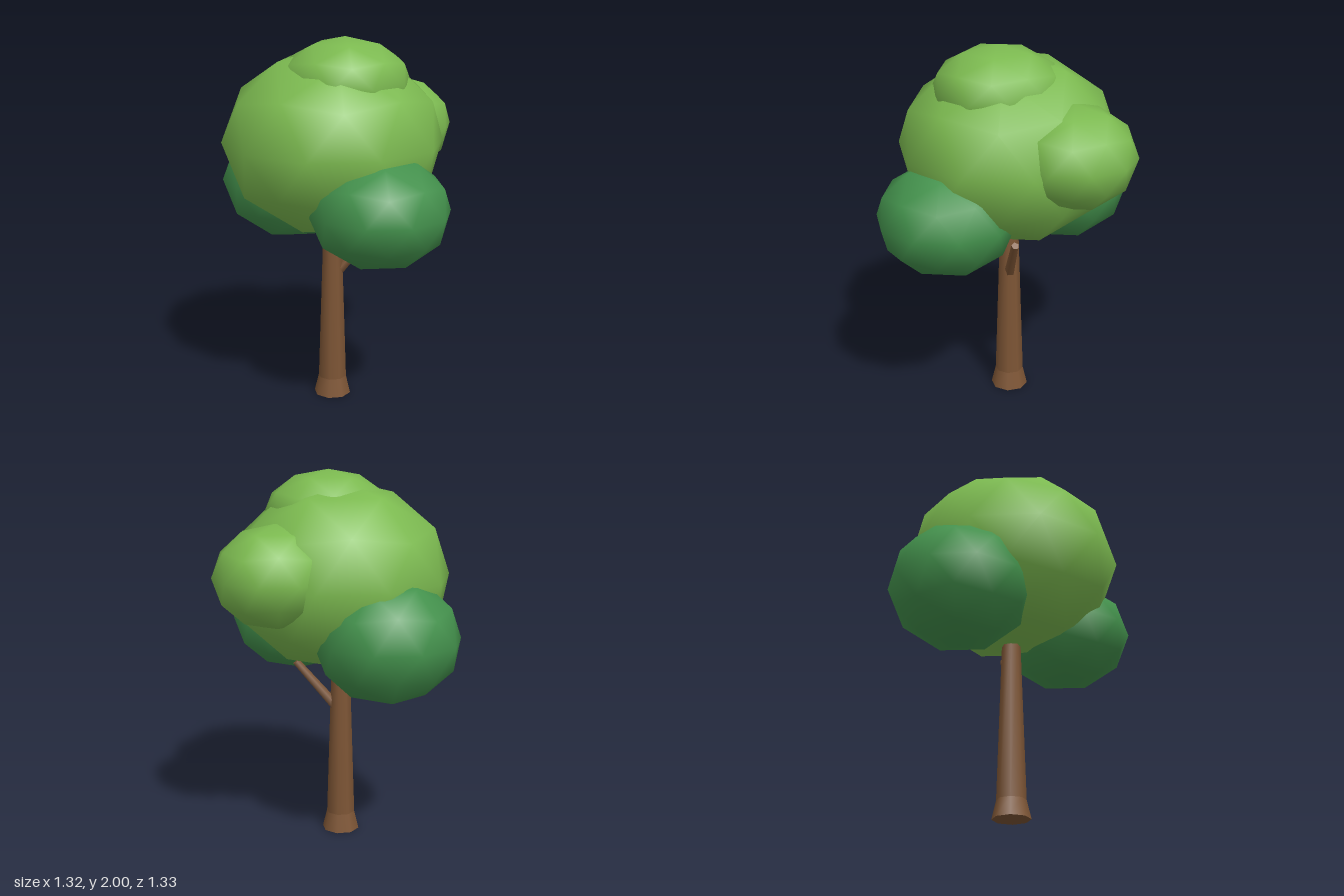
import * as THREE from 'three';
import { mergeVertices, mergeGeometries } from 'three/addons/utils/BufferGeometryUtils.js';

const mat = (name, color) => {
  const m = new THREE.MeshStandardMaterial({ color });
  m.name = name;
  return m;
};

// Low-poly ball with a vertex at the pole and smooth shared normals
function foliageGeometry(r, h) {
  let g = new THREE.IcosahedronGeometry(1, 1);
  g.rotateZ(-Math.atan(2 / (1 + Math.sqrt(5))));
  g.deleteAttribute('uv');
  g.deleteAttribute('normal');
  g = mergeVertices(g, 1e-3);
  g.scale(r, h, r);
  g.computeVertexNormals();
  return g;
}

export function createModel() {
  const tree = new THREE.Group();
  tree.name = 'tree';
  const bark = mat('bark brown', 0x7d5535);
  const light = mat('light leaf green', 0x7cba50);
  const dark = mat('dark leaf green', 0x43914c);

  const add = (name, geometry, material, x = 0, y = 0, z = 0) => {
    const mesh = new THREE.Mesh(geometry, material);
    mesh.name = name;
    mesh.position.set(x, y, z);
    tree.add(mesh);
    return mesh;
  };

  // Trunk: flared foot below a long tapering stem
  const foot = new THREE.CylinderGeometry(0.078, 0.102, 0.1, 8).translate(0, 0.05, 0);
  const stem = new THREE.CylinderGeometry(0.05, 0.078, 0.88, 8).translate(0, 0.54, 0);
  add('trunk', mergeGeometries([foot, stem]), bark, 0.003, 0, 0.006);

  // Side branch
  const from = new THREE.Vector3(0.035, 0.72, 0);
  const to = new THREE.Vector3(0.24, 0.97, -0.05);
  const dir = to.clone().sub(from);
  const branch = add('branch', new THREE.CylinderGeometry(0.021, 0.029, dir.length(), 5), bark);
  branch.position.copy(from).add(to).multiplyScalar(0.5);
  branch.quaternion.setFromUnitVectors(new THREE.Vector3(0, 1, 0), dir.normalize());

  // Foliage clumps: name, material, radius, half height, centre
  const clumps = [
    ['mainCrown', light, 0.59, 0.505, 0.005, 1.445, 0.005],
    ['topClump', light, 0.345, 0.235, 0.08, 1.765, 0.055],
    ['backClump', light, 0.325, 0.27, 0.265, 1.487, -0.345],
    ['frontLowerClump', dark, 0.368, 0.298, 0.31, 1.15, 0.295],
    ['backLowerClump', dark, 0.385, 0.335, -0.292, 1.168, -0.247],
  ];
  for (const [name, material, r, h, x, y, z] of clumps) {
    add(name, foliageGeometry(r, h), material, x, y, z);
  }
  return tree;
}
